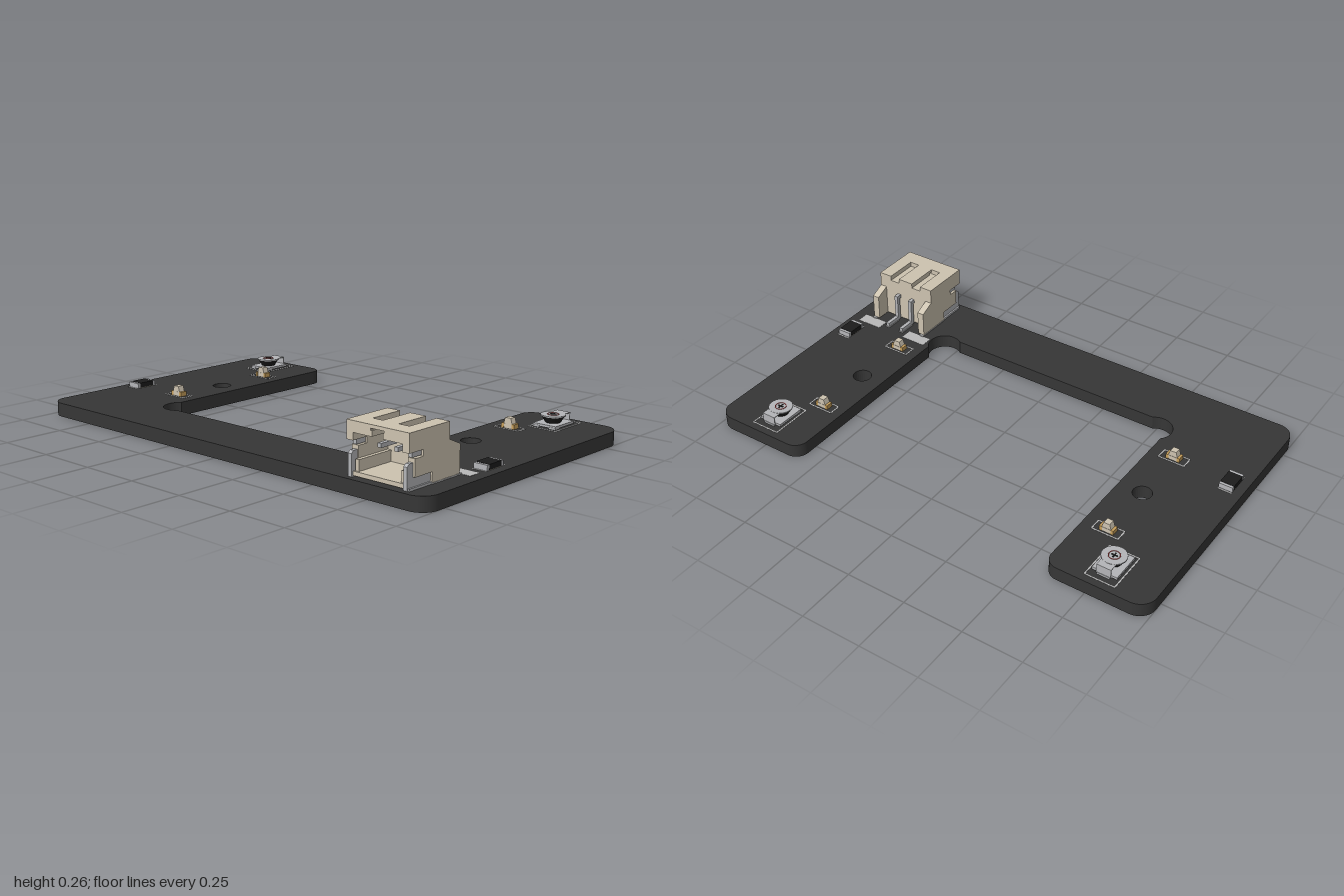
import * as THREE from 'three';

const mat = (color, side = THREE.FrontSide) =>
  new THREE.MeshStandardMaterial({ color, side, flatShading: true });
const DARK = mat(0x363636), CREAM = mat(0xcdc3b0), METAL = mat(0xb4b5b8), BLACK = mat(0x1c1c1c);
const INK = mat(0xb8b8b8), AMBER = mat(0xc8a05c), RED = mat(0xa04040);
const TOP = 0.057; // upper face of the board

function add(parent, name, geometry, material, x = 0, y = 0, z = 0) {
  const mesh = new THREE.Mesh(geometry, material);
  mesh.name = name;
  mesh.position.set(x, y, z);
  parent.add(mesh);
  return mesh;
}
// Box given by its x, y and z ranges
function block(parent, name, material, [x0, x1], [y0, y1], [z0, z1]) {
  return add(parent, name, new THREE.BoxGeometry(x1 - x0, y1 - y0, z1 - z0), material,
    (x0 + x1) / 2, (y0 + y1) / 2, (z0 + z1) / 2);
}
function group(parent, name, x = 0, y = 0, z = 0) {
  const g = new THREE.Group();
  g.name = name;
  g.position.set(x, y, z);
  parent.add(g);
  return g;
}
const polygon = (pts) => new THREE.Shape(pts.map(([a, b]) => new THREE.Vector2(a, b)));

// U-shaped plate with rounded ends, relief cuts in the inner corners and two mounting holes
function boardGeometry() {
  const P = Math.PI, r = 0.07, q = 0.055, w = 0.575, d = 0.605;
  const cutA = Math.atan2(-0.049, -0.05), cutB = Math.atan2(0.055, 0.043);
  const s = new THREE.Shape();
  s.moveTo(-1, d - r);
  s.absarc(-1 + r, -d + r, r, P, 1.5 * P, false);
  s.absarc(-w - q, -d + q, q, -P / 2, 0, false);
  s.absarc(-0.525, 0.305, 0.07, cutA, cutB, true);
  s.absarc(0.525, 0.305, 0.07, P - cutB, P - cutA - 2 * P, true);
  s.absarc(w + q, -d + q, q, P, 1.5 * P, false);
  s.absarc(1 - r, -d + r, r, -P / 2, 0, false);
  s.absarc(1 - r, d - r, r, 0, P / 2, false);
  s.absarc(-1 + r, d - r, r, P / 2, P, false);
  for (const x of [-0.68, 0.676]) {
    const hole = new THREE.Path();
    hole.absarc(x, -0.075, 0.039, 0, 2 * P, true);
    s.holes.push(hole);
  }
  const g = new THREE.ExtrudeGeometry(s, { depth: TOP, bevelEnabled: false, curveSegments: 14 });
  return g.rotateX(P / 2).translate(0, TOP, 0);
}

// Thin printed rectangle around a component
function printedFrame(parent, w, d) {
  const t = 0.005, h = [0, 0.001];
  for (const s of [-1, 1]) {
    block(parent, 'printedLine', INK, [s * w / 2 - t / 2, s * w / 2 + t / 2], h, [-d / 2, d / 2]);
    block(parent, 'printedLine', INK, [-w / 2, w / 2], h, [s * d / 2 - t / 2, s * d / 2 + t / 2]);
  }
}

function trimmer(parent, x) {
  const g = group(parent, 'trimmer', x, TOP, -0.485);
  printedFrame(g, 0.124, 0.176);
  block(g, 'trimmerBase', METAL, [-0.052, 0.052], [0.004, 0.014], [-0.055, 0.072]);
  for (const s of [-1, 1])
    block(g, 'trimmerFoot', METAL, [s * 0.036 - 0.014, s * 0.036 + 0.014], [0, 0.008], [0.04, 0.074]);
  block(g, 'trimmerFoot', METAL, [-0.026, 0.026], [0, 0.008], [-0.064, -0.03]);
  // Tapered dark cup with a metal rotor on top
  add(g, 'trimmerCup', new THREE.CylinderGeometry(0.046, 0.03, 0.026, 24), BLACK, 0, 0.027, 0.012);
  add(g, 'rotor', new THREE.CylinderGeometry(0.049, 0.049, 0.005, 24), METAL, 0, 0.0425, 0.012);
  block(g, 'wiperStrip', METAL, [-0.03, 0.03], [0.041, 0.044], [-0.06, 0.01]);
  block(g, 'wiperPost', METAL, [-0.03, 0.03], [0.006, 0.044], [-0.062, -0.059]);
  const ring = add(g, 'rotorRing', new THREE.TorusGeometry(0.022, 0.0018, 6, 24), RED, 0, 0.045, 0.012);
  ring.rotation.x = Math.PI / 2;
  block(g, 'screwSlot', BLACK, [-0.013, 0.013], [0.044, 0.0465], [0.009, 0.015]);
  block(g, 'screwSlot', BLACK, [-0.003, 0.003], [0.044, 0.0465], [-0.001, 0.025]);
}

function led(parent, x, z) {
  const g = group(parent, 'led', x, TOP, z);
  printedFrame(g, 0.112, 0.05);
  block(g, 'ledBase', CREAM, [-0.018, 0.018], [0, 0.018], [-0.015, 0.015]);
  for (const s of [-1, 1])
    block(g, 'ledTerminal', AMBER, [s * 0.024 - 0.006, s * 0.024 + 0.006], [0, 0.019], [-0.0155, 0.0155]);
  // Lens with sloping ends
  const lens = polygon([[-0.02, 0], [0.02, 0], [0.013, 0.024], [-0.013, 0.024]]);
  add(g, 'ledLens', new THREE.ExtrudeGeometry(lens, { depth: 0.028, bevelEnabled: false }),
    CREAM, 0, 0.018, -0.014);
}

function resistor(parent, x) {
  const g = group(parent, 'resistor', x, TOP, 0.165);
  block(g, 'resistorBody', CREAM, [-0.029, 0.029], [0, 0.018], [-0.036, 0.036]);
  block(g, 'resistorCoating', BLACK, [-0.0295, 0.0295], [0.002, 0.022], [-0.036, 0.036]);
  for (const s of [-1, 1]) {
    block(g, 'resistorTerminal', METAL, [-0.029, 0.029], [0, 0.021], [s * 0.042 - 0.006, s * 0.042 + 0.006]);
    block(g, 'printedLine', INK, [-0.029, 0.029], [0, 0.001], [s * 0.054 - 0.003, s * 0.054 + 0.003]);
  }
}

// Plate with a (z, y) outline, centred on x
function sidePlate(parent, name, pts, thickness, x, material) {
  const g = new THREE.ExtrudeGeometry(polygon(pts), { depth: thickness, bevelEnabled: false });
  add(parent, name, g.rotateY(-Math.PI / 2).translate(thickness / 2, 0, 0), material, x);
}

function connector(parent) {
  const g = group(parent, 'connector', 0.778);
  for (const s of [-1, 1]) {
    // Side walls with a sloped rear wing and metal hold-down tabs
    sidePlate(g, 'sideWall', [[0.31, 0.062], [0.31, 0.168], [0.37, 0.195], [0.37, 0.258], [0.585, 0.258],
      [0.585, 0.188], [0.512, 0.188], [0.512, 0.165], [0.555, 0.165], [0.555, 0.1], [0.462, 0.1],
      [0.462, 0.062]], 0.03, s * 0.123, CREAM);
    sidePlate(g, 'holdDownTab', [[0.462, 0.058], [0.462, 0.1], [0.555, 0.1], [0.555, 0.15], [0.575, 0.15],
      [0.585, 0.14], [0.585, 0.058]], 0.016, s * 0.122, METAL);
    block(g, 'holdDownBar', METAL, [s * 0.122 - 0.008, s * 0.122 + 0.008], [0.168, 0.186], [0.512, 0.56]);
    block(g, 'holdDownFoot', METAL, [s * 0.125 - 0.012, s * 0.125 + 0.012], [TOP, 0.066], [0.462, 0.58]);
    // Raised roof ridges at the sides
    block(g, 'roofRidge', CREAM, [s * 0.109 - 0.029, s * 0.109 + 0.029], [0.236, 0.258], [0.37, 0.585]);
    block(g, 'innerRib', CREAM, [s * 0.101 - 0.008, s * 0.101 + 0.008], [0.062, 0.12], [0.37, 0.57]);
    block(g, 'roofUnderside', CREAM, [s * 0.066 - 0.042, s * 0.066 + 0.042], [0.216, 0.237], [0.37, 0.585]);
    // Contact pins running through the rear wall down to the board
    const px = s * 0.037, pw = [px - 0.008, px + 0.008];
    block(g, 'contactPin', METAL, pw, [0.165, 0.181], [0.355, 0.53]);
    block(g, 'contactDrop', METAL, pw, [0.066, 0.181], [0.345, 0.362]);
    block(g, 'contactFoot', METAL, pw, [0.062, 0.078], [0.278, 0.362]);
    block(g, 'printedPad', INK, [s * 0.121 - 0.056, s * 0.121 + 0.056], [TOP, TOP + 0.001], [0.25, 0.302]);
    block(g, 'contactPad', INK, [px - 0.01, px + 0.01], [TOP, 0.062], [0.276, 0.35]);
    block(g, 'anchorPad', INK, [s * 0.13 - 0.01, s * 0.13 + 0.01], [TOP, 0.062], [0.3, 0.46]);
  }
  block(g, 'roofRidge', CREAM, [-0.035, 0.035], [0.245, 0.258], [0.37, 0.585]);
  block(g, 'keyStop', CREAM, [-0.035, 0.035], [0.216, 0.246], [0.37, 0.5]);
  block(g, 'roofFront', CREAM, [-0.138, 0.138], [0.245, 0.258], [0.515, 0.585]);
  for (const s of [-1, 1])
    block(g, 'roofFront', CREAM, [s * 0.056 - 0.026, s * 0.056 + 0.026], [0.235, 0.25], [0.515, 0.585]);
  block(g, 'rearWall', CREAM, [-0.125, 0.125], [0.062, 0.237], [0.37, 0.4]);
  block(g, 'floor', CREAM, [-0.112, 0.112], [0.062, 0.078], [0.37, 0.578]);
}

export function createModel() {
  const model = new THREE.Group();
  model.name = 'circuitBoard';
  add(model, 'board', boardGeometry(), DARK);
  trimmer(model, -0.79);
  trimmer(model, 0.775);
  for (const x of [-0.68, 0.674]) for (const z of [-0.328, 0.176]) led(model, x, z);
  resistor(model, -0.932);
  resistor(model, 0.932);
  connector(model);
  return model;
}
